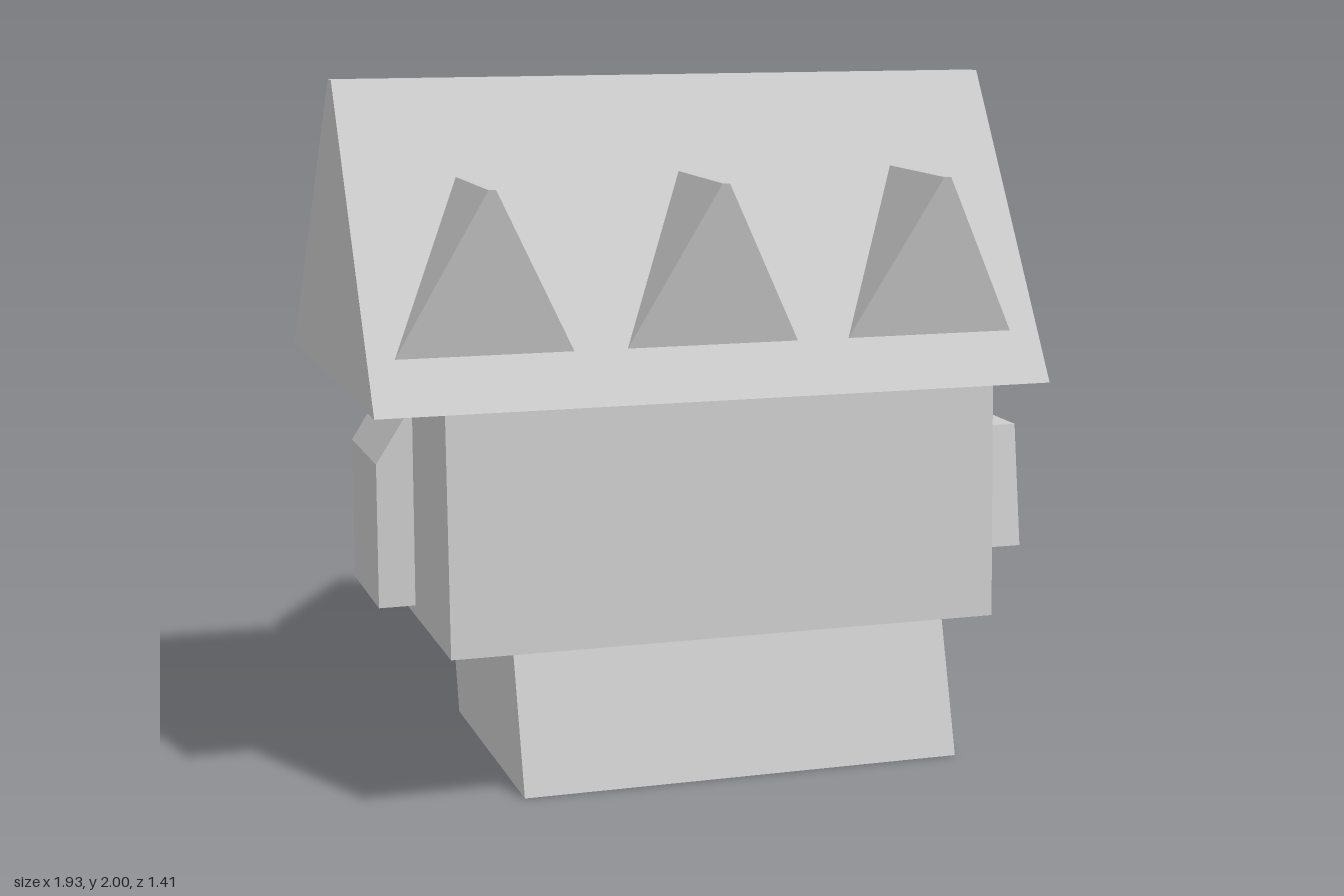
import * as THREE from 'three';

const material = new THREE.MeshStandardMaterial({ color: 0xcccccc, flatShading: true });

// Straight prism of an outline, extruded along z between two depths
function prismZ(points, z0, z1) {
  const shape = new THREE.Shape(points.map(([u, v]) => new THREE.Vector2(u, v)));
  const geometry = new THREE.ExtrudeGeometry(shape, { depth: z1 - z0, bevelEnabled: false });
  return geometry.translate(0, 0, z0);
}

// Prism of a (z, y) side profile, running along x from x0 to x1
function prismX(points, x0, x1) {
  return prismZ(points, 0, x1 - x0).rotateY(-Math.PI / 2).translate(x1, 0, 0);
}

export function createModel() {
  const house = new THREE.Group();
  house.name = 'house';
  const add = (name, geometry) => {
    const mesh = new THREE.Mesh(geometry, material);
    mesh.name = name;
    house.add(mesh);
    return mesh;
  };

  // Storeys with leaning front and back walls
  add('lowerStorey', prismX([[0.48, 0], [0.33, 0.49], [-0.51, 0.49], [-0.37, 0]], -0.52, 0.795));
  add('upperStorey', prismX([[0.71, 0.49], [0.68, 1.15], [-0.41, 1.15], [-0.51, 0.49]], -0.775, 0.795));

  // Main roof with a narrow flat ridge
  add('mainRoof', prismX([[0.69, 1.15], [0.14, 2], [0.09, 2], [-0.65, 1.15]], -0.965, 0.965));

  // Rear wing and its gable roof, which runs into the main roof
  add('rearWing', prismZ([[-0.25, 0.01], [0.575, 0.01], [0.575, 1.15], [-0.25, 1.15]], -0.67, -0.37));
  add('rearRoof', prismZ([[-0.5, 1.15], [0.72, 1.15], [0.135, 1.87], [0.09, 1.87]], -0.705, 0));

  // Bays on the two ends
  add('leftBay', prismX([[0.545, 0.645], [0.49, 0.995], [-0.3, 0.995], [-0.35, 0.645]], 0.75, 0.955));
  add('rightBay', prismZ([[-0.88, 0.52], [-0.7, 0.52], [-0.7, 1.1], [-0.775, 1.1], [-0.88, 0.935]], -0.14, 0.24));

  // Three dormers whose front faces lean outward towards the top
  const bottom = 1.29, top = 1.74, front = 0.6, back = 0.25;
  const dormer = prismZ([[-0.245, bottom], [0.245, bottom], [0.01, top], [-0.01, top]], back, front);
  const position = dormer.attributes.position;
  for (let i = 0; i < position.count; i++) {
    if (position.getZ(i) > 0.5) {
      position.setZ(i, front + 0.1 * (position.getY(i) - bottom) / (top - bottom));
    }
  }
  dormer.computeVertexNormals();
  [-0.645, -0.005, 0.635].forEach((x, i) => {
    add('dormer' + (i + 1), dormer).position.x = x;
  });

  return house;
}
